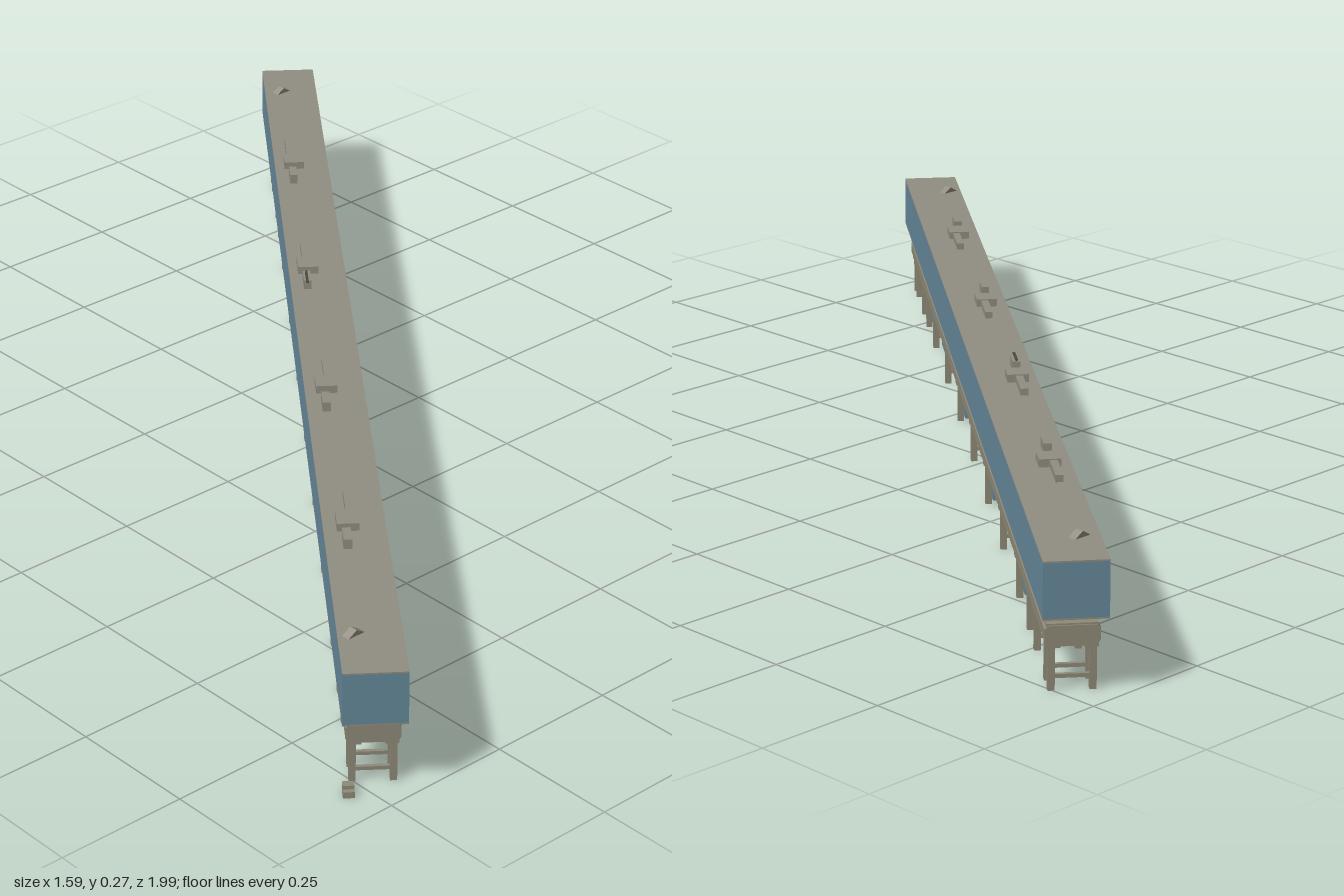
import * as THREE from 'three';

export function createModel() {
  const root = new THREE.Group();
  const model = new THREE.Group();
  model.name = 'elevatedHall';
  // local x runs along the hall, local z across it
  model.rotation.y = 0.907;
  root.add(model);

  const mat = (name, color) => {
    const m = new THREE.MeshStandardMaterial({ color });
    m.name = name;
    return m;
  };
  const wall = mat('blue grey cladding', 0x66899b);
  const roofGrey = mat('warm grey roof', 0x918d82);
  const concrete = mat('olive grey concrete', 0x8f8b79);
  const dark = mat('dark vent', 0x4a4842);

  const add = (name, geometry, material, x = 0, y = 0, z = 0, parent = model) => {
    const m = new THREE.Mesh(geometry, material);
    m.name = name;
    m.position.set(x, y, z);
    parent.add(m);
    return m;
  };
  // box given by its centre, its bottom and its size
  const box = (name, material, x, y0, z, l, h, w, parent) =>
    add(name, new THREE.BoxGeometry(l, h, w), material, x, y0 + h / 2, z, parent);

  // Upper hall: clad walls between a floor plate and a roof plate
  box('hallFloor', roofGrey, 0, 0.142, 0, 2.443, 0.003, 0.111);
  box('hallWalls', wall, 0, 0.145, 0, 2.443, 0.097, 0.111);
  box('hallRoof', roofGrey, 0, 0.242, 0, 2.443, 0.003, 0.111);

  // Deck: cross-section with a chamfered upper edge
  const section = new THREE.Shape([
    [-0.043, 0.083], [0.043, 0.083], [0.047, 0.09], [0.047, 0.11],
    [0.042, 0.116], [-0.042, 0.116], [-0.047, 0.11], [-0.047, 0.09],
  ].map(([a, b]) => new THREE.Vector2(a, b)));
  const deck = new THREE.ExtrudeGeometry(section, { depth: 2.36, bevelEnabled: false });
  deck.translate(0, 0, -1.18).rotateY(Math.PI / 2);
  add('deck', deck, concrete);
  for (const s of [-1, 1]) box('deckEndCap', concrete, s * 1.15, 0.112, 0, 0.055, 0.007, 0.088);

  // Trestles: two legs with brackets, a low tie and a top beam
  const trestle = (x) => {
    const g = new THREE.Group();
    g.name = 'trestle';
    g.position.x = x;
    model.add(g);
    for (const s of [-1, 1]) {
      box('leg', concrete, 0, 0, s * 0.035, 0.012, 0.085, 0.012, g);
      box('legBracket', concrete, 0, 0.076, s * 0.032, 0.016, 0.009, 0.024, g);
    }
    box('tie', concrete, 0, 0.021, 0, 0.007, 0.007, 0.07, g);
    box('topBeam', concrete, 0, 0.078, 0, 0.012, 0.007, 0.07, g);
  };
  trestle(0);
  for (const x of [0.2475, 0.495, 0.7425, 0.895, 0.99, 1.125, 1.17]) {
    trestle(x);
    trestle(-x);
  }

  // Clad cabins under the deck: position, length, width
  for (const [x, l, w] of [
    [-0.846, 0.09, 0.06], [-0.65, 0.12, 0.052],
    [-0.243, 0.07, 0.06], [0.246, 0.07, 0.06], [0.74, 0.07, 0.06],
  ]) box('underCabin', wall, x, 0.016, 0, l, 0.068, w);

  // Roof plant: a square unit with a long duct and a small box
  const plant = (x, z, unit, ductZ, boxX) => {
    box('roofUnit', roofGrey, x, 0.245, z, unit, 0.015, 0.04);
    box('roofDuct', roofGrey, x + unit / 2 + 0.04, 0.245, ductZ, 0.08, 0.013, 0.014);
    box('roofBox', roofGrey, boxX, 0.245, z - 0.005, 0.042, 0.019, 0.015);
  };
  plant(0.736, -0.016, 0.044, -0.022, 0.665);
  plant(0.252, -0.018, 0.044, -0.02, 0.185);
  plant(-0.24, -0.015, 0.044, -0.01, -0.312);
  plant(-0.74, -0.012, 0.05, -0.006, -0.805);
  box('roofVent', dark, 0.177, 0.264, -0.024, 0.05, 0.002, 0.005);

  // Low ridged hatches near both ends of the roof
  const ridge = new THREE.Shape([
    new THREE.Vector2(-0.018, 0), new THREE.Vector2(0.018, 0), new THREE.Vector2(0, 0.011),
  ]);
  for (const [x, z] of [[1.107, -0.02], [-1.1, -0.028]]) {
    const g = new THREE.ExtrudeGeometry(ridge, { depth: 0.016, bevelEnabled: false });
    g.translate(0, 0, -0.008);
    add('roofHatch', g, roofGrey, x, 0.245, z).rotation.y = -0.907;
  }

  // Ground step beside the left-hand end
  box('groundStep', concrete, -1.212, 0, -0.044, 0.024, 0.012, 0.02);
  box('groundStepTop', concrete, -1.208, 0.012, -0.044, 0.014, 0.007, 0.02);

  return root;
}
